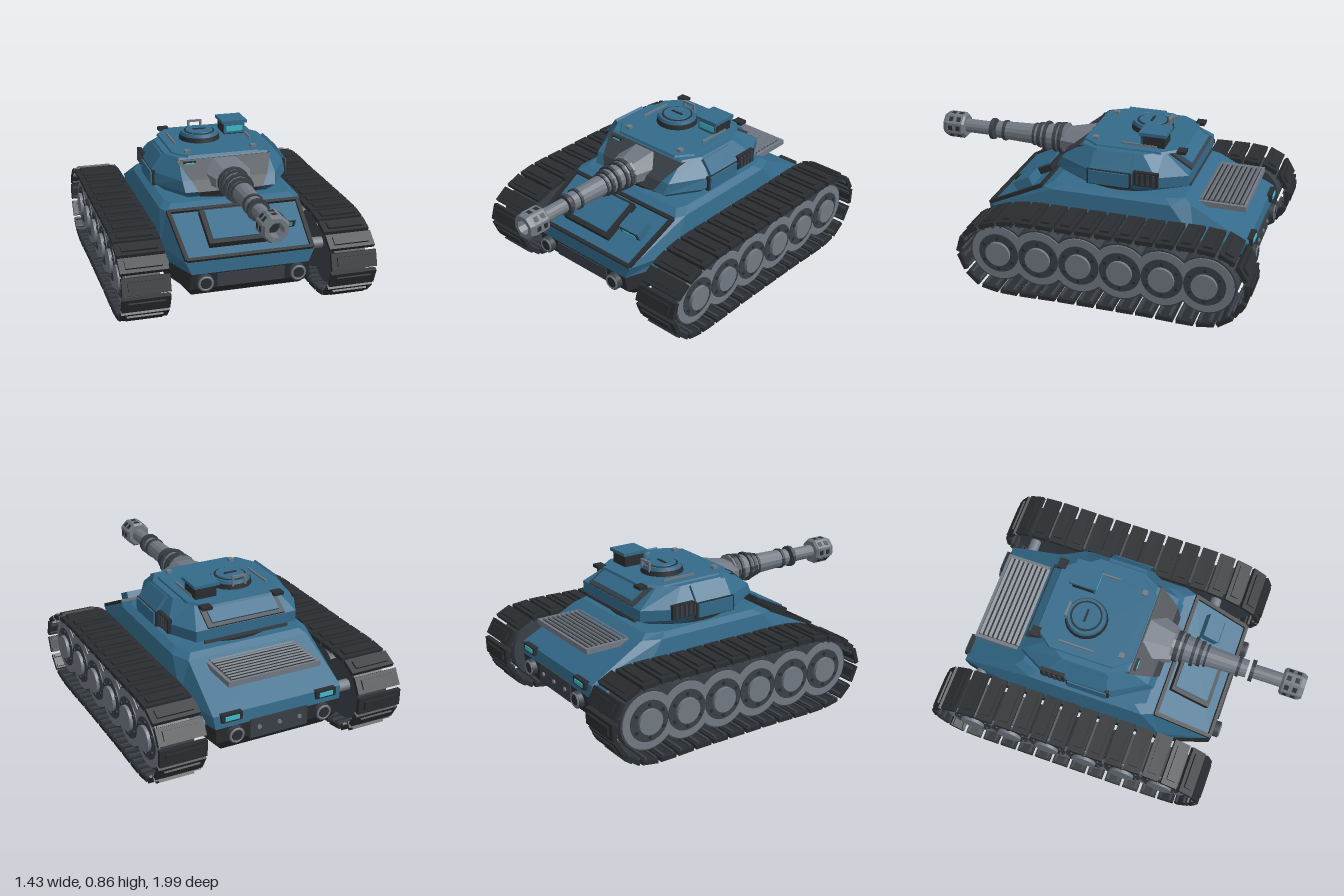
import * as THREE from 'three';

const material = (name, color) => Object.assign(new THREE.MeshStandardMaterial({ color }), { name });
const blue = material('blue armour', 0x336a8a);
const black = material('track black', 0x2a2d30);
const dark = material('dark steel', 0x3a4047);
const grey = material('light steel', 0x727983);
const cyan = material('cyan glass', 0x3fbdd0);

// Faceted copy of a geometry
function flat(geo) {
  const g = geo.index ? geo.toNonIndexed() : geo;
  g.computeVertexNormals();
  return g;
}

function add(parent, name, geo, mat, x = 0, y = 0, z = 0) {
  const m = new THREE.Mesh(geo, mat);
  m.name = name;
  m.position.set(x, y, z);
  parent.add(m);
  return m;
}
const box = (p, name, mat, w, h, d, x, y, z) => add(p, name, new THREE.BoxGeometry(w, h, d), mat, x, y, z);

// Cylinder along a chosen axis; r1 is the radius at the positive end
function cyl(p, name, mat, r1, r0, len, sides, axis, x, y, z, faceted = false) {
  let g = new THREE.CylinderGeometry(r1, r0, len, sides);
  if (sides === 8) g.rotateY(Math.PI / 8);
  if (axis === 'z') g.rotateX(Math.PI / 2);
  if (axis === 'x') g.rotateZ(-Math.PI / 2);
  if (faceted) g = flat(g);
  return add(p, name, g, mat, x, y, z);
}

// Stacked eight-sided plans: [y, half width, front half width, front z, front cut, rear half width, rear z, rear cut]
function loft(layers) {
  const rings = layers.map(([y, w, wf, zf, cf, wr, zr, cr]) => {
    const half = [[wf, zf], [w, zf - cf], [w, zr + cr], [wr, zr]];
    const other = half.map(([x, z]) => [-x, z]).reverse();
    return [...half, ...other].map(([x, z]) => [x, y, z]);
  });
  const out = [];
  const last = rings.length - 1;
  for (let r = 0; r < last; r++) {
    for (let i = 0; i < 8; i++) {
      const j = (i + 1) % 8;
      const [a, b, c, d] = [rings[r][i], rings[r][j], rings[r + 1][j], rings[r + 1][i]];
      out.push(...a, ...b, ...c, ...a, ...c, ...d);
    }
  }
  for (let i = 1; i < 7; i++) {
    out.push(...rings[last][0], ...rings[last][i], ...rings[last][i + 1]);
    out.push(...rings[0][0], ...rings[0][i + 1], ...rings[0][i]);
  }
  const g = new THREE.BufferGeometry();
  g.setAttribute('position', new THREE.Float32BufferAttribute(out, 3));
  g.computeVertexNormals();
  return g;
}

function group(parent, name, x = 0, y = 0, z = 0) {
  const g = new THREE.Group();
  g.name = name;
  g.position.set(x, y, z);
  parent.add(g);
  return g;
}

// Track loop with its wheels on one side
function buildTrack(root, s) {
  const track = group(root, s > 0 ? 'leftTrack' : 'rightTrack', s * 0.583);
  const path = [[0.35, 0.44], [0.5, 0.395], [0.59, 0.33], [0.625, 0.235], [0.59, 0.13], [0.52, 0.055], [0.42, 0.025],
    [0, 0.025], [-0.4, 0.025], [-0.76, 0.025], [-0.86, 0.06], [-0.935, 0.145], [-0.97, 0.25], [-0.935, 0.36],
    [-0.86, 0.425], [-0.74, 0.45], [-0.4, 0.45], [0, 0.45]].map(([z, y]) => new THREE.Vector3(0, y, z));
  const curve = new THREE.CatmullRomCurve3(path, true);
  const count = 33;
  for (let i = 0; i < count; i++) {
    const t = curve.getTangentAt(i / count);
    const link = group(track, 'trackLink');
    link.position.copy(curve.getPointAt(i / count));
    link.rotation.x = Math.atan2(-t.y, t.z);
    box(link, 'linkPlate', black, 0.264, 0.024, 0.094, 0, 0, 0);
    for (const z of [-0.03, 0.03]) box(link, 'linkRidge', dark, 0.25, 0.014, 0.014, 0, -0.017, z);
    box(link, 'linkGuide', black, 0.2, 0.014, 0.05, 0, 0.016, 0);
  }
  for (let i = 0; i < 6; i++) {
    const wheel = group(track, 'roadWheel', 0, 0.24, 0.405 - i * 0.23);
    cyl(wheel, 'tyre', dark, 0.167, 0.167, 0.18, 32, 'x', 0, 0, 0);
    cyl(wheel, 'rim', grey, 0.157, 0.157, 0.01, 32, 'x', s * 0.092, 0, 0);
    cyl(wheel, 'wheelDisc', dark, 0.114, 0.114, 0.012, 28, 'x', s * 0.096, 0, 0);
    cyl(wheel, 'hubCap', grey, 0.07, 0.07, 0.04, 20, 'x', s * 0.1, 0, 0);
    for (let k = 0; k < 6; k++) {
      const a = k * Math.PI / 3 + Math.PI / 6;
      cyl(wheel, 'wheelBolt', black, 0.01, 0.01, 0.012, 6, 'x', s * 0.103, Math.sin(a) * 0.092, Math.cos(a) * 0.092);
    }
  }
  for (const z of [0.36, -0.8]) cyl(root, 'axle', grey, 0.032, 0.032, 0.16, 12, 'x', s * 0.44, 0.29, z);
}

function buildHull(root) {
  const hull = group(root, 'hull');
  add(hull, 'lowerHull', loft([
    [0.13, 0.34, 0.31, 0.5, 0.2, 0.31, -0.85, 0.2],
    [0.2, 0.42, 0.34, 0.585, 0.25, 0.36, -0.9, 0.25],
    [0.29, 0.43, 0.33, 0.595, 0.28, 0.37, -0.91, 0.28]]), black);
  add(hull, 'upperHull', loft([
    [0.29, 0.43, 0.33, 0.595, 0.28, 0.37, -0.91, 0.28],
    [0.36, 0.43, 0.36, 0.59, 0.28, 0.38, -0.9, 0.28],
    [0.53, 0.405, 0.38, 0.25, 0.06, 0.36, -0.58, 0.1],
    [0.553, 0.365, 0.34, 0.2, 0.06, 0.33, -0.54, 0.1]]), blue);

  // Sloped front plate and its fittings
  const glacis = group(hull, 'frontPlate', 0, 0.445, 0.42);
  glacis.rotation.x = Math.atan2(0.17, 0.34);
  box(glacis, 'frameTop', black, 0.76, 0.02, 0.02, 0, 0.006, -0.175);
  box(glacis, 'frameBottom', black, 0.71, 0.02, 0.02, 0, 0.006, 0.18);
  for (const s of [-1, 1]) {
    const edge = box(glacis, 'frameSide', black, 0.022, 0.02, 0.36, s * 0.362, 0.006, 0);
    edge.rotation.y = -s * 0.06;
  }
  box(glacis, 'hatchFrame', black, 0.34, 0.04, 0.25, -0.04, 0.015, -0.02);
  box(glacis, 'hatchLid', blue, 0.29, 0.02, 0.21, -0.04, 0.033, -0.025);
  box(glacis, 'visionBox', blue, 0.14, 0.06, 0.1, 0.23, 0.025, -0.03);
  box(glacis, 'visionFrame', black, 0.125, 0.042, 0.008, 0.23, 0.031, 0.022);
  box(glacis, 'visionGlass', cyan, 0.1, 0.026, 0.008, 0.23, 0.031, 0.025);

  // Nose and tail fittings
  box(hull, 'nosePanel', dark, 0.38, 0.075, 0.02, 0, 0.245, 0.59);
  box(hull, 'tailPanel', dark, 0.34, 0.11, 0.02, 0, 0.245, -0.906);
  for (const x of [-0.12, 0, 0.12]) cyl(hull, 'tailBolt', grey, 0.012, 0.012, 0.01, 8, 'z', x, 0.25, -0.92);
  for (const s of [-1, 1]) {
    for (const [z, e] of [[0.6, 1], [-0.91, -1]]) {
      cyl(hull, 'lampHousing', dark, 0.047, 0.047, 0.05, 16, 'z', s * 0.26, 0.245, z);
      add(hull, 'lampRing', new THREE.TorusGeometry(0.036, 0.007, 6, 20), grey, s * 0.26, 0.245, z + e * 0.025);
      cyl(hull, 'lampLens', black, 0.03, 0.03, 0.008, 16, 'z', s * 0.26, 0.245, z + e * 0.026);
    }
    box(hull, 'tailLightBox', black, 0.12, 0.045, 0.03, s * 0.28, 0.345, -0.905);
    box(hull, 'tailLight', cyan, 0.08, 0.024, 0.008, s * 0.28, 0.345, -0.921);
  }

  // Engine grille
  const grille = group(hull, 'engineGrille', 0, 0.5, -0.722);
  box(grille, 'grilleBase', black, 0.53, 0.022, 0.27, 0, 0, 0);
  for (const s of [-1, 1]) {
    box(grille, 'grilleSide', grey, 0.02, 0.03, 0.28, s * 0.262, 0.002, 0);
    box(grille, 'grilleEnd', grey, 0.54, 0.03, 0.015, 0, 0.002, s * 0.133);
  }
  for (let i = 0; i < 9; i++) {
    box(grille, 'grilleSlat', grey, 0.5, 0.008, 0.018, 0, 0.021, -0.112 + i * 0.028).rotation.x = 0.45;
  }
}

function buildTurret(root) {
  const turret = group(root, 'turret');
  cyl(turret, 'turretRing', black, 0.345, 0.345, 0.03, 36, 'y', 0, 0.555, -0.17);
  add(turret, 'turretBody', loft([
    [0.56, 0.33, 0.23, 0.15, 0.16, 0.24, -0.46, 0.14],
    [0.61, 0.385, 0.26, 0.215, 0.2, 0.3, -0.55, 0.16],
    [0.67, 0.385, 0.27, 0.185, 0.2, 0.3, -0.55, 0.16],
    [0.765, 0.315, 0.26, 0.06, 0.1, 0.24, -0.4, 0.1]]), blue);
  add(turret, 'gunSurround', loft([
    [0.565, 0.165, 0.165, 0.165, 0.05, 0.16, 0, 0.02],
    [0.61, 0.185, 0.185, 0.223, 0.05, 0.18, 0, 0.02],
    [0.67, 0.22, 0.22, 0.194, 0.05, 0.2, 0, 0.02],
    [0.755, 0.275, 0.275, 0.078, 0.05, 0.25, 0, 0.02]]), dark);
  add(turret, 'roofPlate', loft([
    [0.762, 0.28, 0.21, 0.07, 0.09, 0.2, -0.49, 0.1],
    [0.774, 0.275, 0.205, 0.065, 0.09, 0.195, -0.485, 0.1]]), blue);
  // Rear bustle
  box(turret, 'bustlePanel', dark, 0.46, 0.012, 0.17, 0, 0.722, -0.48).rotation.x = -0.565;
  box(turret, 'bustleArmour', blue, 0.4, 0.02, 0.1, 0, 0.72, -0.495).rotation.x = -0.565;
  box(turret, 'bustleBand', dark, 0.5, 0.02, 0.012, 0, 0.6, -0.548);

  // Side armour and vents
  for (const s of [-1, 1]) {
    box(turret, 'sidePanelEdge', black, 0.02, 0.085, 0.25, s * 0.386, 0.635, -0.13);
    box(turret, 'sidePanel', blue, 0.034, 0.075, 0.225, s * 0.388, 0.637, -0.13);
    const upper = box(turret, 'upperSidePanel', blue, 0.025, 0.1, 0.225, s * 0.357, 0.718, -0.14);
    upper.rotation.z = s * 0.63;
    box(turret, 'ventPanel', black, 0.024, 0.08, 0.14, s * 0.382, 0.655, -0.335);
    for (let i = 0; i < 4; i++) box(turret, 'ventBar', dark, 0.012, 0.064, 0.014, s * 0.394, 0.655, -0.29 - i * 0.03);
    box(turret, 'roofRail', grey, 0.008, 0.012, 0.2, s * 0.225, 0.78, -0.25);
    box(turret, 'roofLug', grey, 0.03, 0.018, 0.03, s * 0.195, 0.78, 0.005);
    box(turret, 'roofBracket', black, 0.06, 0.018, 0.05, s * 0.215, 0.77, -0.49);
  }
  box(turret, 'frontSightFrame', black, 0.075, 0.022, 0.02, -0.205, 0.738, 0.09);
  box(turret, 'frontSightGlass', cyan, 0.05, 0.01, 0.008, -0.205, 0.738, 0.101);

  // Commander's hatch
  const hatch = group(turret, 'hatch', -0.055, 0.774, -0.25);
  cyl(hatch, 'hatchBase', black, 0.115, 0.12, 0.026, 24, 'y', 0, 0.013, 0);
  cyl(hatch, 'hatchRim', blue, 0.105, 0.112, 0.02, 24, 'y', 0, 0.034, 0);
  cyl(hatch, 'hatchRecess', black, 0.09, 0.09, 0.008, 24, 'y', 0, 0.042, 0);
  cyl(hatch, 'hatchLid', blue, 0.078, 0.082, 0.01, 24, 'y', 0, 0.046, 0);
  box(hatch, 'hatchGrip', black, 0.075, 0.006, 0.012, 0, 0.053, 0);
  box(hatch, 'handleBar', grey, 0.085, 0.012, 0.012, 0, 0.071, -0.105);
  for (const s of [-1, 1]) box(hatch, 'handlePost', grey, 0.012, 0.055, 0.012, s * 0.037, 0.046, -0.105);

  // Periscope sight
  const sight = group(turret, 'periscope', 0.163, 0.774, -0.327);
  box(sight, 'sightBody', black, 0.125, 0.07, 0.13, 0, 0.035, 0);
  box(sight, 'sightLid', blue, 0.15, 0.018, 0.155, 0, 0.074, 0);
  box(sight, 'sightFrame', blue, 0.125, 0.055, 0.012, 0, 0.034, 0.064);
  box(sight, 'sightGlass', cyan, 0.1, 0.032, 0.008, 0, 0.035, 0.07);
}

function buildGun(root) {
  const gun = group(root, 'gun', 0, 0.665, 0);
  cyl(gun, 'mantlet', grey, 0.105, 0.165, 0.17, 8, 'z', 0, 0, 0.17, true).scale.y = 0.58;
  cyl(gun, 'mantletCollar', grey, 0.08, 0.09, 0.05, 12, 'z', 0, 0, 0.265, true);
  // [material, start z, end z, start radius, end radius]
  const parts = [[dark, 0.255, 0.28, 0.09, 0.09], [grey, 0.28, 0.39, 0.074, 0.07], [dark, 0.295, 0.312, 0.086, 0.086],
    [dark, 0.355, 0.372, 0.086, 0.086], [dark, 0.392, 0.412, 0.074, 0.074], [grey, 0.41, 0.672, 0.06, 0.05],
    [dark, 0.43, 0.442, 0.066, 0.066], [dark, 0.615, 0.632, 0.06, 0.06], [dark, 0.69, 0.712, 0.062, 0.062],
    [grey, 0.71, 0.88, 0.04, 0.04]];
  for (const [mat, a, b, r0, r1] of parts) {
    cyl(gun, mat === dark ? 'barrelBand' : 'barrel', mat, r1, r0, b - a, 14, 'z', 0, 0, (a + b) / 2, true);
  }
  // Muzzle brake with side ports and an open bore
  const profile = [[0.03, 0], [0.066, 0], [0.077, 0.012], [0.077, 0.105], [0.066, 0.13], [0.042, 0.13], [0.036, 0.06], [0, 0.06]];
  const brake = new THREE.LatheGeometry(profile.map(([r, y]) => new THREE.Vector2(r, y)), 8);
  brake.rotateY(Math.PI / 8).rotateX(Math.PI / 2);
  add(gun, 'muzzleBrake', flat(brake), grey, 0, 0, 0.87);
  cyl(gun, 'bore', black, 0.037, 0.037, 0.008, 12, 'z', 0, 0, 0.934);
  for (let i = 0; i < 8; i++) {
    const ports = group(gun, 'muzzlePorts', 0, 0, 0.93);
    ports.rotation.z = i * Math.PI / 4;
    for (const z of [-0.025, 0.022]) box(ports, 'port', black, 0.008, 0.028, 0.025, 0.069, 0, z);
  }
}

export function createModel() {
  const root = new THREE.Group();
  root.name = 'tank';
  buildHull(root);
  for (const s of [-1, 1]) buildTrack(root, s);
  buildTurret(root);
  buildGun(root);
  return root;
}
